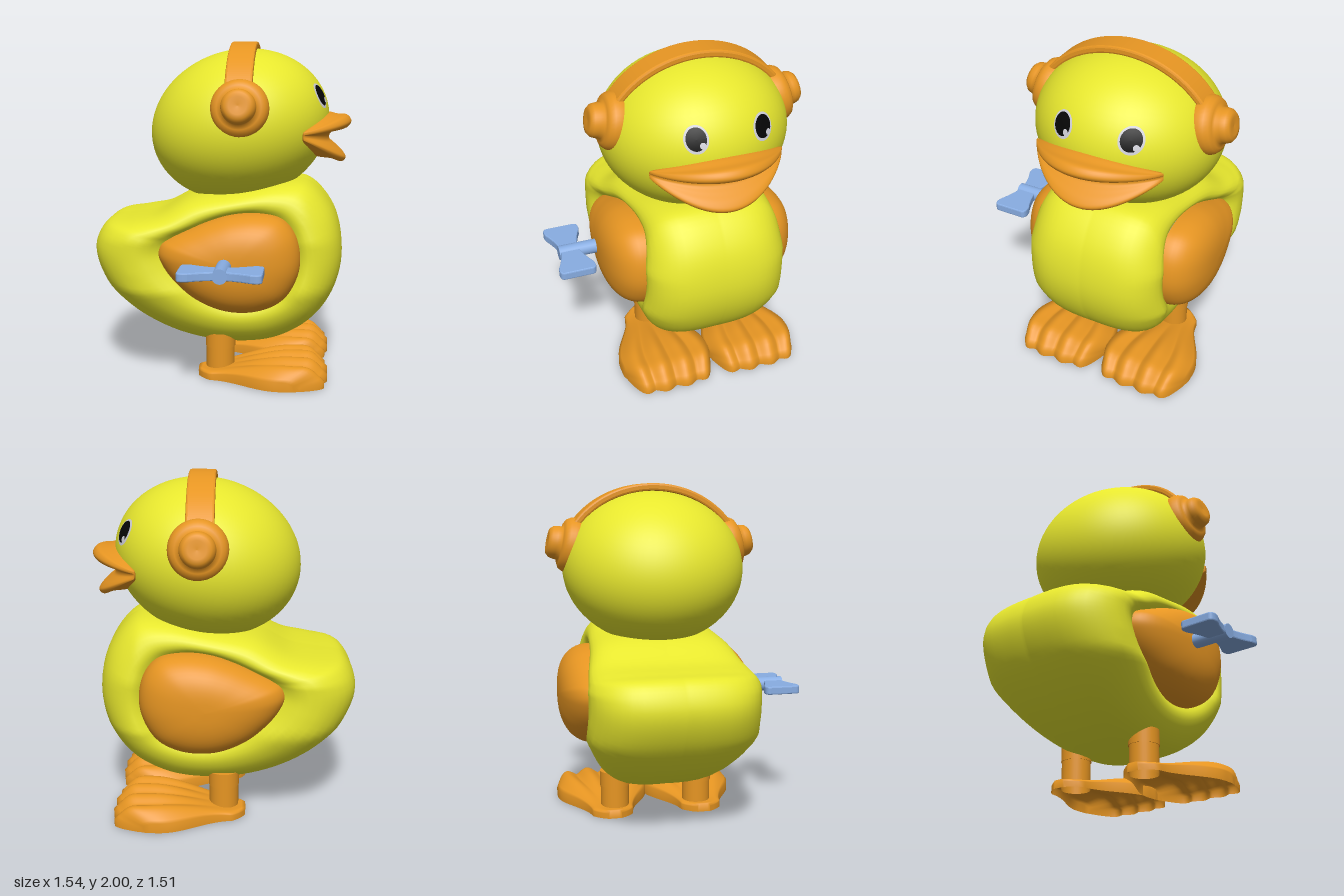
import * as THREE from 'three';

const C = -0.105; // z of the toy's centre plane
const V = (x, y, z) => new THREE.Vector3(x, y, z);

export function createModel() {
  const group = new THREE.Group();
  const mat = (name, color, side = THREE.FrontSide) => {
    const m = new THREE.MeshStandardMaterial({ color, side });
    m.name = name;
    return m;
  };
  const yellow = mat('yellow', 0xe7e72e);
  const orange = mat('orange', 0xe69522, THREE.DoubleSide);
  const blue = mat('blue', 0x88ade2);
  const white = mat('eyeWhite', 0xcfcfd6);
  const black = mat('eyeBlack', 0x060606);

  const add = (name, geo, material, parent = group) => {
    const mesh = new THREE.Mesh(geo, material);
    mesh.name = name;
    parent.add(mesh);
    return mesh;
  };

  // Skin over equal-length rings of points
  const loft = (rings, closed = true) => {
    const n = rings[0].length, idx = [];
    for (let r = 0; r < rings.length - 1; r++) {
      for (let j = 0; j < (closed ? n : n - 1); j++) {
        const a = r * n + j, b = r * n + (j + 1) % n;
        idx.push(a, b, b + n, a, b + n, a + n);
      }
    }
    const g = new THREE.BufferGeometry().setFromPoints(rings.flat());
    g.setIndex(idx);
    g.computeVertexNormals();
    return g;
  };
  const loop = (pts, n) => {
    const c = new THREE.CatmullRomCurve3(pts.map(p => V(p[0], p[1], 0)), true);
    return c.getPoints(n).slice(0, n);
  };
  const mirrorRings = rings => rings.map(r => r.map(p => V(p.x, p.y, -p.z))).reverse();

  // Side outlines of body and wing, with matching points
  const bodyLine = loop([[.728, .76], [.675, 1], [.53, 1.165], [.38, 1.185], [.1, 1.14], [-.18, 1.09],
    [-.39, .985], [-.56, .953], [-.7, .925], [-.77, .78], [-.7, .57], [-.52, .385], [-.26, .24],
    [.03, .18], [.33, .21], [.57, .36], [.69, .55]], 102);
  const wingLine = loop([[.485, .76], [.455, .9], [.375, .99], [.25, 1.02], [.08, 1.01], [-.06, .97],
    [-.18, .92], [-.28, .875], [-.335, .84], [-.355, .78], [-.33, .71], [-.26, .615], [-.13, .505],
    [.05, .435], [.24, .44], [.385, .51], [.465, .64]], 102);

  // Body: rounded flanks that dip slightly towards the wings
  const halfWidth = (x, y) => {
    const k = THREE.MathUtils.clamp((x + .4) / .9, 0, 1);
    return (.5 - .06 * k) * (1 - .33 * Math.max(0, (.55 - y) / .37))
      * (1 - .22 * Math.max(0, (y - .85) / .33)) * (1 - .2 * Math.max(0, (x - .5) / .225))
      * (1 - .12 * Math.max(0, (-.5 - x) / .27));
  };
  const flank = [[0, .03], [0, .22], [.008, .38], [.03, .54], [.07, .67], [.13, .775], [.21, .86], [.31, .925],
    [.43, .97], [.56, .992], [.7, .995], [.82, .975], [.92, .94], [1, .9], [1.1, .85]];
  const side = flank.map(([f, zf]) => bodyLine.map((p, i) => {
    const q = p.clone().lerp(wingLine[i], f);
    q.z = zf * halfWidth(q.x, q.y);
    return q;
  }));
  const seam = bodyLine.map((p, i) => p.clone().lerp(wingLine[i], .012));
  add('body', loft([...mirrorRings(side), seam, ...side]), yellow).position.z = C;

  // Wings: flattened domes set into the flanks
  const dome = [];
  for (let i = 0; i <= 14; i++) {
    const a = i / 14 * Math.PI / 2, s = Math.pow(Math.max(0, Math.cos(a)), .78);
    dome.push(wingLine.map(p => V(.1 + (p.x - .1) * s, .74 + (p.y - .74) * s,
      .37 + .222 * Math.pow(Math.sin(a), .9))));
  }
  add('leftWing', loft(dome), orange).position.z = C;
  add('rightWing', loft(mirrorRings(dome)), orange).position.z = C;

  // Head: a tilted ellipsoid carrying the eyes
  const head = new THREE.Group();
  head.name = 'head';
  head.position.set(.098, 1.5, C - .005);
  head.rotation.z = .27;
  head.scale.set(.546, .452, .548);
  group.add(head);
  add('skull', new THREE.SphereGeometry(1, 64, 40), yellow, head);
  const eyePatch = (name, y0, z0, ry, rz, lift, material) => {
    const g = new THREE.RingGeometry(0, 1, 28, 4), p = g.attributes.position;
    for (let i = 0; i < p.count; i++) {
      const y = y0 + ry * p.getY(i), z = z0 - rz * p.getX(i);
      p.setXYZ(i, Math.sqrt(1 - y * y - z * z) * lift, y * lift, z * lift);
    }
    g.computeVertexNormals();
    add(name, g, material, head);
  };
  for (const [name, z] of [['left', .29], ['right', -.42]]) {
    eyePatch(name + 'EyeWhite', .115, z, .172, .118, 1.005, white);
    eyePatch(name + 'Pupil', .12, z, .14, .097, 1.01, black);
    eyePatch(name + 'EyeGlint', .04, z - .055, .04, .03, 1.014, white);
  }

  // Beak: an open-mouthed profile swept across the face, shrinking to the mouth corners
  const mouth = loop([[.47, 1.35], [.57, 1.315], [.66, 1.303], [.72, 1.286], [.74, 1.31], [.72, 1.345],
    [.675, 1.385], [.64, 1.42], [.645, 1.458], [.7, 1.485], [.75, 1.497], [.77, 1.53], [.745, 1.565],
    [.69, 1.57], [.63, 1.582], [.57, 1.572], [.47, 1.53]], 85);
  const bill = [];
  for (let i = 0; i <= 44; i++) {
    const a = (i / 44 - .5) * Math.PI, c = Math.max(0, Math.cos(a));
    const k = Math.pow(c, 1.7), m = (.2 + .8 * c * c) * Math.pow(c, .15);
    bill.push(mouth.map(p => V(.49 + (p.x - .49) * k, 1.475 + (p.y - 1.475) * m,
      C - .005 + .39 * Math.sin(a))));
  }
  add('beak', loft(bill), orange);

  // Headphones: arched band and two stepped ear cups
  const arch = new THREE.Shape();
  arch.absellipse(0, 0, .575, .5, .27, Math.PI - .27, false, 0);
  arch.absellipse(0, 0, .535, .455, Math.PI - .27, .27, true, 0);
  const band = new THREE.ExtrudeGeometry(arch, { depth: .133, curveSegments: 48, bevelThickness: .012,
    bevelSize: .012, bevelOffset: -.012, bevelSegments: 2 });
  band.rotateY(Math.PI / 2);
  add('headband', band, orange).position.set(.06, 1.5, C - .005);
  const cup = [[.14, -.08], [.16, -.02], [.166, .01], [.167, .04], [.161, .065], [.147, .088], [.125, .1],
    [.1, .104], [.099, .13], [.092, .158], [.075, .176], [.05, .18], [0, .174]]
    .map(p => new THREE.Vector2(...p));
  for (const s of [1, -1]) {
    const g = new THREE.LatheGeometry(cup, 40).rotateX(s * (Math.PI / 2 - .2));
    add(s > 0 ? 'leftEarCup' : 'rightEarCup', g, orange).position.set(.135, 1.625, C - .008 + s * .455);
  }

  // Legs and hollow webbed feet with four toes
  const smooth = THREE.MathUtils.smoothstep;
  const foot = () => {
    const rows = [], n = 36, m = 56;
    for (let i = -1; i <= n + 1; i++) {
      const s = THREE.MathUtils.clamp(i / n, 0, 1), row = [];
      for (let j = -1; j <= m + 1; j++) {
        const t = THREE.MathUtils.clamp(j / m, 0, 1) * 2 - 1;
        const toe = Math.pow(Math.abs(Math.sin((t + 1) * 2 * Math.PI)), 1.3); // toe ridges
        const grow = smooth(s, .15, .7);
        const w = (.125 + .158 * smooth(s, .1, .8) - .015 * smooth(s, .9, 1))
          * Math.sqrt(Math.min(1, s / .13 + .1));
        const end = .652 - .03 * (1 - toe) * grow - .13 * Math.pow(t, 6);
        const x = -.125 + (end + .125) * s;
        let h = .05 + .092 * smooth(s, .05, .72) - .105 * Math.pow(smooth(s, .8, 1.03), 2);
        h *= (1 - grow * (.22 * (1 - toe) + .14 * t * t)) * (1 - .35 * Math.pow(t, 10));
        const rim = i < 0 || j < 0 || i > n || j > m;
        row.push(V(x, rim ? 0 : h, t * w));
      }
      rows.push(row);
    }
    return loft(rows, false);
  };
  for (const [name, s] of [['left', 1], ['right', -1]]) {
    const z = C - .012 + s * .257;
    add(name + 'Foot', foot(), orange).position.z = z + s * .02;
    add(name + 'Leg', new THREE.CylinderGeometry(.086, .086, .18, 32, 1, true), orange).position.set(.003, .1, z);
    add(name + 'LegCollar', new THREE.CylinderGeometry(.09, .09, .09, 32), orange).position.set(.003, .222, z);
  }

  // Wind-up key on the left wing
  const key = new THREE.Group();
  key.name = 'windUpKey';
  key.position.set(.057, .748, 0);
  group.add(key);
  const shaft = new THREE.CylinderGeometry(.043, .043, .28, 24).rotateX(Math.PI / 2);
  add('keyShaft', shaft, blue, key).position.z = .573;
  const bow = new THREE.Shape();
  bow.moveTo(0, -.055);
  bow.quadraticCurveTo(.08, -.06, .17, -.105);
  bow.quadraticCurveTo(.23, -.12, .236, -.085);
  bow.lineTo(.236, .085);
  bow.quadraticCurveTo(.23, .12, .17, .105);
  bow.quadraticCurveTo(.08, .06, 0, .055);
  bow.quadraticCurveTo(-.08, .06, -.17, .105);
  bow.quadraticCurveTo(-.23, .12, -.236, .085);
  bow.lineTo(-.236, -.085);
  bow.quadraticCurveTo(-.23, -.12, -.17, -.105);
  bow.quadraticCurveTo(-.08, -.06, 0, -.055);
  const plate = new THREE.ExtrudeGeometry(bow, { depth: .034, bevelThickness: .008, bevelSize: .006,
    bevelOffset: -.006, bevelSegments: 2 }).rotateX(Math.PI / 2);
  add('keyHandle', plate, blue, key).position.set(0, .017, .648);

  return group;
}
